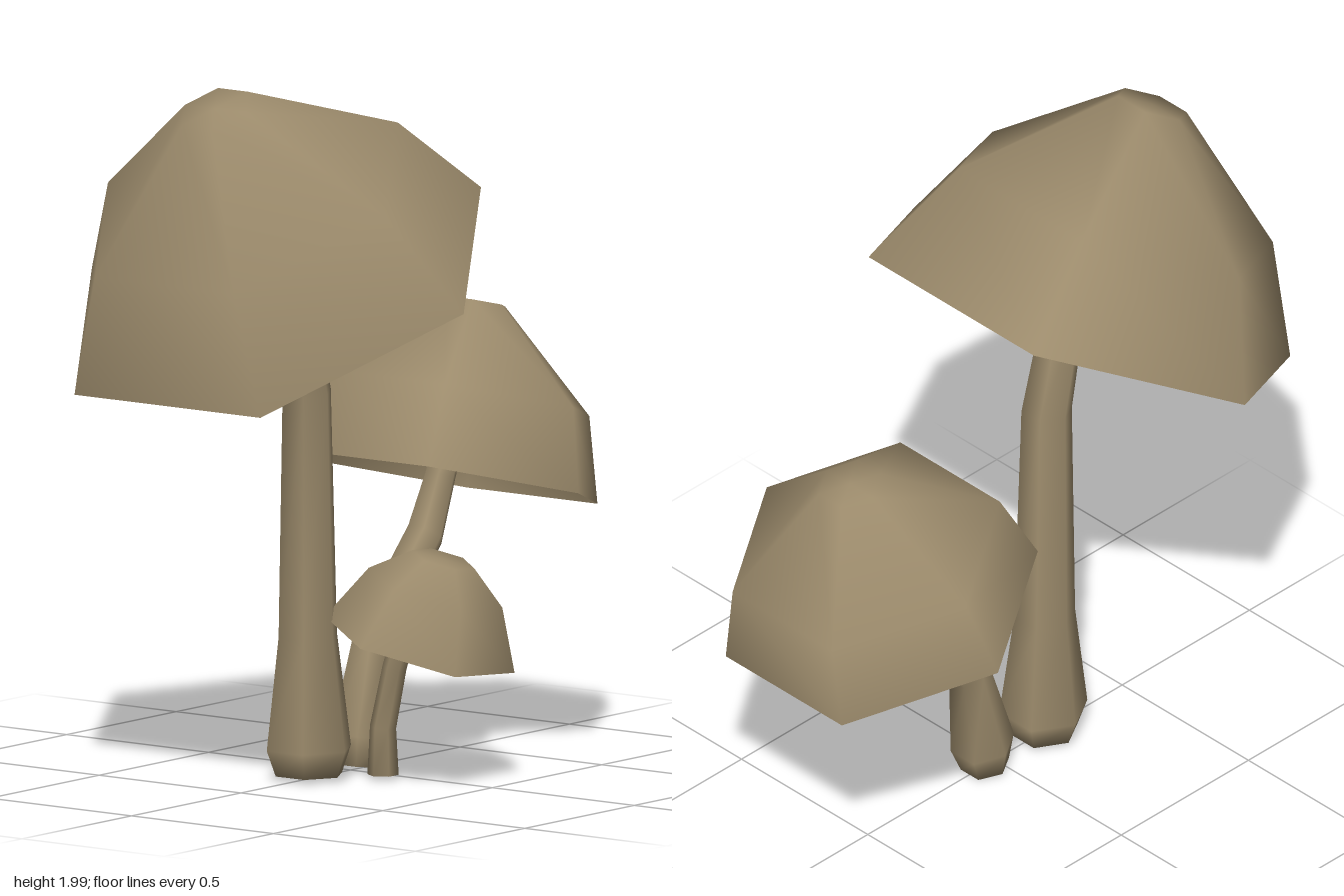
import * as THREE from 'three';

const SIDES = 6;

// Open hexagonal shell; profile is a list of [radius, height] from rim to crown
function makeCap(name, material, profile, position, up, phase = 0) {
  const points = profile.map(([r, y]) => new THREE.Vector2(r, y));
  const cap = new THREE.Mesh(new THREE.LatheGeometry(points, SIDES, phase), material);
  cap.name = name;
  cap.position.set(...position);
  cap.quaternion.setFromUnitVectors(new THREE.Vector3(0, 1, 0), new THREE.Vector3(...up).normalize());
  return cap;
}

// Bent hexagonal stalk; each ring is [x, y, z, radius] from foot to tip
function makeStalk(name, material, rings, phase = 0) {
  const centres = rings.map(([x, y, z]) => new THREE.Vector3(x, y, z));
  const last = rings.length - 1;
  const positions = [];
  const index = [];
  rings.forEach(([, , , radius], i) => {
    const t = centres[Math.min(i + 1, last)].clone().sub(centres[Math.max(i - 1, 0)]).normalize();
    const u = new THREE.Vector3(0, 0, 1).addScaledVector(t, -t.z).normalize();
    const v = new THREE.Vector3().crossVectors(t, u);
    for (let j = 0; j < SIDES; j++) {
      const a = phase + (j / SIDES) * Math.PI * 2;
      const p = centres[i].clone()
        .addScaledVector(u, radius * Math.cos(a))
        .addScaledVector(v, radius * Math.sin(a));
      positions.push(p.x, p.y, p.z);
      if (i < last) {
        const k = i * SIDES + j;
        const n = i * SIDES + ((j + 1) % SIDES);
        index.push(k, n, n + SIDES, k, n + SIDES, k + SIDES);
      }
    }
  });
  // Close the foot and the tip
  for (let j = 1; j < SIDES - 1; j++) {
    const top = last * SIDES;
    index.push(0, j + 1, j, top, top + j, top + j + 1);
  }
  const geometry = new THREE.BufferGeometry();
  geometry.setAttribute('position', new THREE.Float32BufferAttribute(positions, 3));
  geometry.setIndex(index);
  geometry.computeVertexNormals();
  const stalk = new THREE.Mesh(geometry, material);
  stalk.name = name;
  return stalk;
}

export function createModel() {
  const model = new THREE.Group();
  model.name = 'mushroomCluster';
  const brown = new THREE.MeshStandardMaterial({ color: 0x9b8a6b, side: THREE.DoubleSide });
  brown.name = 'mushroomBrown';

  const addMushroom = (name, cap, stalk) => {
    const group = new THREE.Group();
    group.name = name;
    group.add(cap, stalk);
    model.add(group);
  };

  // Tall mushroom, cap leaning to -x
  addMushroom('tallMushroom',
    makeCap('tallCap', brown, [[0.655, 0], [0.488, 0.311], [0.107, 0.622], [0, 0.622]],
      [-0.332, 1.41, 0], [-0.46, 0.888, 0]),
    makeStalk('tallStalk', brown, [
      [-0.19, 0.025, 0, 0.1], [-0.19, 0.1, 0, 0.127], [-0.195, 0.42, 0, 0.088],
      [-0.213, 1.11, 0.01, 0.073], [-0.315, 1.43, 0.035, 0.062], [-0.39, 1.65, 0.05, 0.056],
    ]));

  // Middle mushroom, cap leaning to +x on a crooked stalk
  addMushroom('middleMushroom',
    makeCap('middleCap', brown, [[0.46, 0], [0.394, 0.237], [0.09, 0.497], [0, 0.497]],
      [0.445, 0.783, 0], [0.257, 0.966, 0]),
    makeStalk('middleStalk', brown, [
      [0.04, 0.02, 0, 0.07], [0.05, 0.1, 0, 0.092], [0.105, 0.38, 0, 0.06],
      [0.34, 0.635, 0, 0.056], [0.41, 0.79, 0, 0.046], [0.47, 0.93, 0, 0.042],
    ]));

  // Small mushroom at the front, cap leaning forwards
  addMushroom('smallMushroom',
    makeCap('smallCap', brown, [[0.277, 0], [0.195, 0.17], [0.09, 0.255], [0, 0.255]],
      [-0.04, 0.4, 0.275], [0.085, 0.955, 0.26], Math.PI / 6),
    makeStalk('smallStalk', brown, [
      [-0.065, 0.025, 0.165, 0.044], [-0.065, 0.16, 0.165, 0.037],
      [-0.065, 0.33, 0.205, 0.034], [-0.06, 0.53, 0.265, 0.03],
    ], Math.PI / 6));

  return model;
}
